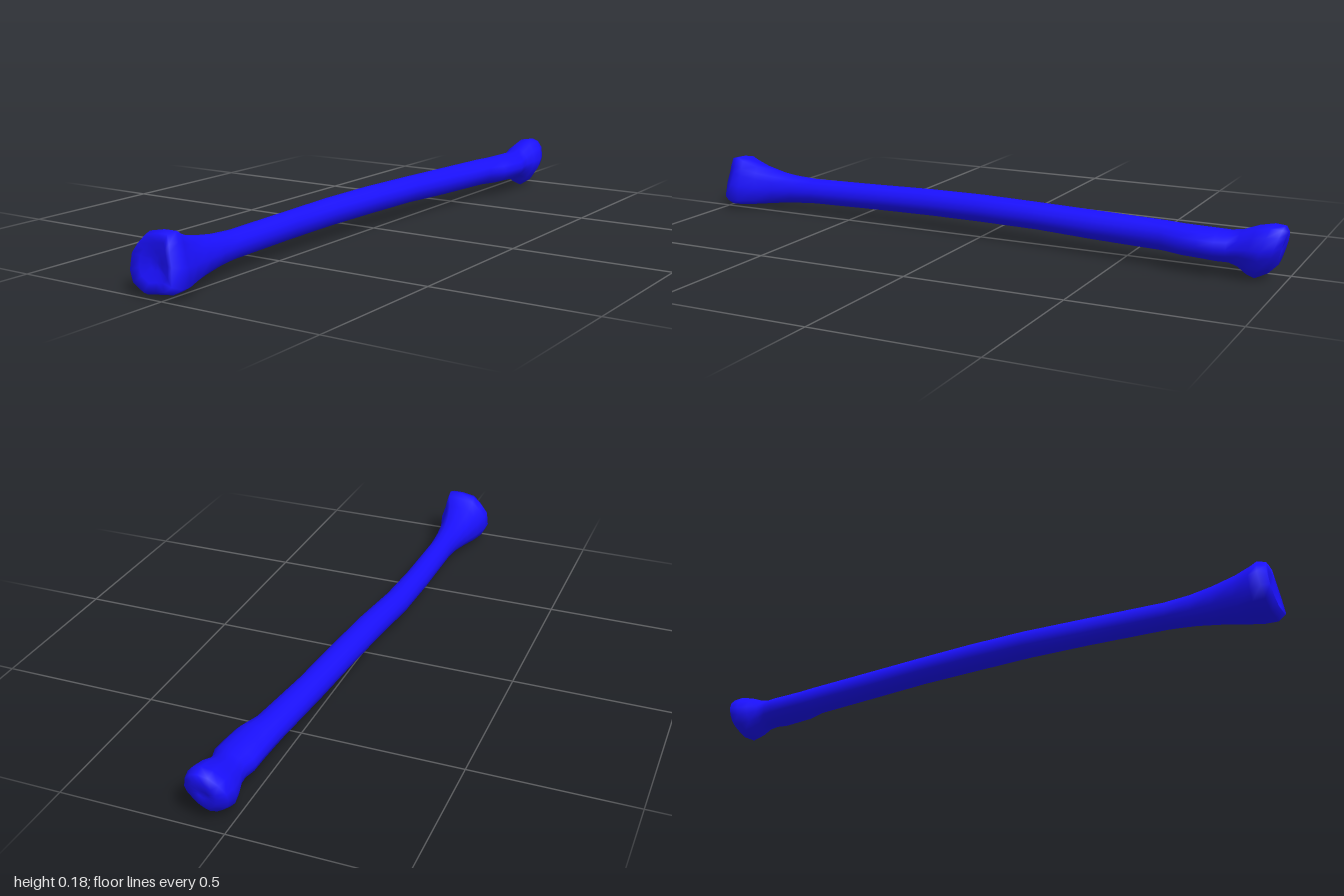
import * as THREE from 'three';

// Unit outlines, counter-clockwise seen from +z, starting at +x
const HEAD = [[1, .15], [.86, .62], [.57, .9], [.2, 1], [-.3, .93], [-.72, .62], [-.98, .25],
  [-1, -.1], [-.85, -.48], [-.6, -.72], [-.3, -.9], [.05, -1], [.57, -.72], [.93, -.2]];
const WRIST = [[.94, -.05], [.8, .4], [.74, .68], [.63, 1], [.17, .99], [-.39, .88], [-.72, .56],
  [-.96, .22], [-1, -.34], [-.81, -.74], [-.28, -1], [.28, -.92], [.67, -.88], [1, -.67]];
const N = HEAD.length;
const ROUND = HEAD.map((_, i) => [Math.cos(i / N * 2 * Math.PI), Math.sin(i / N * 2 * Math.PI)]);

// Cross-sections: z, x min, x max, y min, y max, weight of end outline, tilt in z per y
const HEAD_END = [
  [-.98, .05, .08, .085, .11, 1, -.25],
  [-.986, .025, .10, .05, .15, 1, -.25],
  [-.968, .00, .125, .02, .166, 1, -.3],
  [-.935, -.005, .134, .001, .17, 1, -.3],
  [-.9, .0, .128, .01, .16, 1, -.2],
  [-.865, .01, .12, .03, .142, .7, -.1],
];
const SHAFT = [
  [-.835, .01, .12, .04, .135, 0, 0],
  [-.8, .0, .13, .04, .135, 0, 0],
  [-.75, -.002, .126, .042, .135, 0, 0],
  [-.69, -.005, .118, .043, .135, 0, 0],
  [-.63, -.008, .092, .045, .135, 0, 0],
  [-.4, -.028, .062, .045, .135, 0, 0],
  [-.2, -.045, .045, .05, .136, 0, 0],
  [0, -.062, .028, .048, .136, 0, 0],
  [.2, -.08, .005, .043, .13, 0, 0],
  [.4, -.084, -.004, .039, .124, 0, 0],
  [.66, -.084, -.006, .034, .119, 0, 0],
];
const WRIST_END = [
  [.74, -.09, .0, .028, .124, .2, 0],
  [.81, -.103, .01, .019, .134, .5, 0],
  [.88, -.12, .025, .008, .15, .8, 0],
  [.93, -.133, .042, .004, .168, 1, -.05],
  [.96, -.135, .045, .003, .18, 1, -.15],
  [.985, -.118, .03, .015, .174, 1, -.15],
  [.981, -.09, .01, .04, .15, 1, -.1],
  [.971, -.06, -.02, .07, .12, 1, 0],
];

function makeRing([z, x0, x1, y0, y1, weight, tilt], outline) {
  return ROUND.map(([c, s], i) => {
    const u = THREE.MathUtils.lerp(c, outline[i][0], weight);
    const v = THREE.MathUtils.lerp(s, outline[i][1], weight);
    const y = (y0 + y1) / 2 + v * (y1 - y0) / 2;
    return [(x0 + x1) / 2 + u * (x1 - x0) / 2, y, z + tilt * (y - .088)];
  });
}

// Skin the rings and close both ends with a centre vertex
function loft(rings) {
  const positions = rings.flat(2), index = [];
  for (let j = 0; j < rings.length - 1; j++) {
    for (let i = 0; i < N; i++) {
      const a = j * N + i, b = j * N + (i + 1) % N;
      index.push(a, b, a + N, b, b + N, a + N);
    }
  }
  for (const j of [0, rings.length - 1]) {
    const centre = positions.length / 3;
    for (let k = 0; k < 3; k++) positions.push(rings[j].reduce((sum, p) => sum + p[k], 0) / N);
    for (let i = 0; i < N; i++) {
      const a = j * N + i, b = j * N + (i + 1) % N;
      if (j) index.push(centre, a, b);
      else index.push(centre, b, a);
    }
  }
  const geometry = new THREE.BufferGeometry();
  geometry.setAttribute('position', new THREE.Float32BufferAttribute(positions, 3));
  geometry.setIndex(index);
  geometry.computeVertexNormals();
  return geometry;
}

export function createModel() {
  const group = new THREE.Group();
  group.name = 'forearmBone';
  // One continuous skin: rounded head, bowed shaft with side bulge, flared hollow wrist end
  const rings = [
    ...HEAD_END.map(s => makeRing(s, HEAD)),
    ...SHAFT.map(s => makeRing(s, ROUND)),
    ...WRIST_END.map(s => makeRing(s, WRIST)),
  ];
  const bone = new THREE.Mesh(loft(rings), new THREE.MeshStandardMaterial({ color: 0x1a10ff }));
  bone.name = 'bone';
  group.add(bone);
  return group;
}
